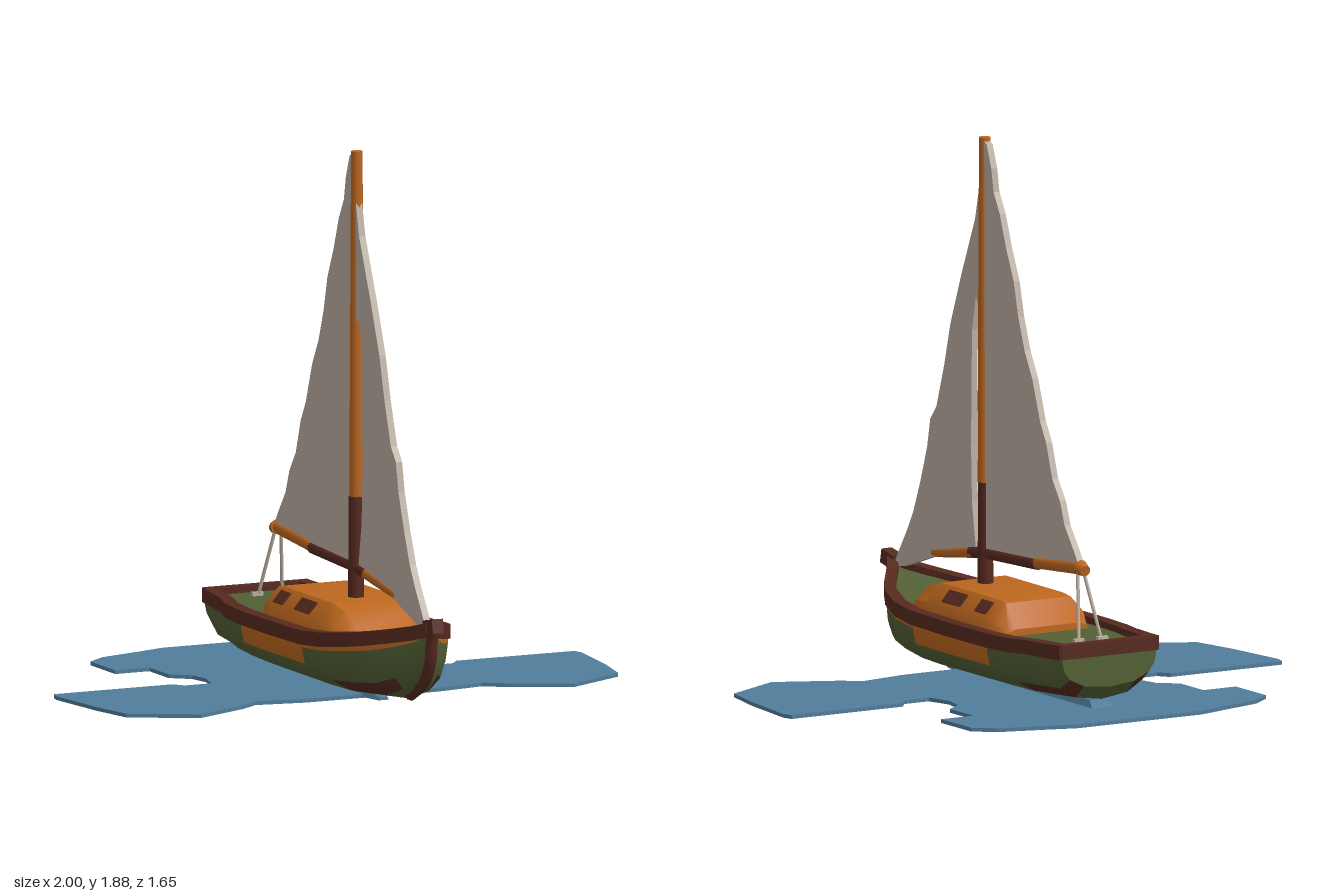
import * as THREE from 'three';
import { toCreasedNormals } from 'three/addons/utils/BufferGeometryUtils.js';

const material = (name, color) => Object.assign(new THREE.MeshStandardMaterial({ color }), { name });
const orange = material('orange wood', 0xbd671f);
const brown = material('dark brown wood', 0x56291f);
const green = material('olive green paint', 0x525f34);
const canvas = material('pale canvas', 0xbdb0a3);
const blue = material('water blue', 0x507d9a);

// Skin closed cross-sections (counter-clockwise from +z, ordered by rising z), with end caps
function loft(rings, pick = () => 0) {
  const pos = [], geo = new THREE.BufferGeometry();
  const n = rings[0].length, first = rings[0], last = rings[rings.length - 1];
  const face = (index, ...pts) => {
    geo.addGroup(pos.length / 3, pts.length, index);
    pts.forEach(p => pos.push(...p));
  };
  for (let i = 0; i < rings.length - 1; i++) {
    for (let j = 0; j < n; j++) {
      const k = (j + 1) % n;
      const [a, b, c, d] = [rings[i][j], rings[i][k], rings[i + 1][k], rings[i + 1][j]];
      face(pick(i, j), a, b, c, a, c, d);
    }
  }
  for (let j = 1; j < n - 1; j++) {
    face(0, first[0], first[j + 1], first[j]);
    face(0, last[0], last[j], last[j + 1]);
  }
  geo.setAttribute('position', new THREE.Float32BufferAttribute(pos, 3));
  return toCreasedNormals(geo, 0.6);
}

// Hull stations: z, half width, rail height, keel height
const STATIONS = [
  [-0.63, 0.195, 0.245, 0.09], [-0.58, 0.2, 0.243, 0.04], [-0.45, 0.215, 0.24, 0.033],
  [-0.35, 0.24, 0.236, 0.03], [-0.23, 0.25, 0.235, 0.03], [0, 0.252, 0.236, 0.03],
  [0.25, 0.25, 0.24, 0.03], [0.38, 0.235, 0.25, 0.03], [0.5, 0.195, 0.266, 0.035],
  [0.58, 0.15, 0.28, 0.04], [0.65, 0.1, 0.295, 0.07], [0.72, 0.05, 0.312, 0.12],
  [0.77, 0.02, 0.328, 0.2],
];
// Half section: width factor, height factor, from deck edge to keel
const SECTION = [[0.97, 1], [0.98, 0.8], [0.93, 0.5], [0.82, 0.28], [0.52, 0.08], [0, 0]];

function hullGeometry() {
  const rings = STATIONS.map(([z, w, s, k]) => {
    const half = SECTION.map(([fx, fy]) => [-w * fx, k + (s - 0.018 - k) * fy, z]);
    return [...half, ...half.slice(0, 5).reverse().map(([x, y]) => [-x, y, z])];
  });
  return loft(rings, (i, j) => {
    if (j === 10) return 0; // deck
    const band = j < 5 ? j : 9 - j, z = (STATIONS[i][0] + STATIONS[i + 1][0]) / 2;
    if (band === 0 && z > -0.23) return 1;
    if (band === 1 && z > -0.23 && z < 0.25) return 1;
    if (band === 3 && (z < -0.35 || (z > 0.38 && z < 0.65))) return 2;
    return 0;
  });
}

function railGeometry(side) {
  return loft(STATIONS.map(([z, w, s]) => {
    const inner = Math.max(0, w - 0.042), outer = w + 0.005;
    const ring = [[inner, s - 0.045, z], [outer, s - 0.045, z], [outer, s + 0.005, z], [inner, s + 0.005, z]];
    return side > 0 ? ring : ring.reverse().map(([x, y]) => [-x, y, z]);
  }));
}

// Cabin rings: z, base half width, roof half width, roof height
function cabinGeometry() {
  const rows = [
    [-0.23, 0.17, 0.13, 0.24], [-0.17, 0.195, 0.13, 0.322], [-0.12, 0.2, 0.13, 0.328],
    [0.25, 0.2, 0.13, 0.33], [0.34, 0.19, 0.12, 0.31], [0.41, 0.15, 0.1, 0.25],
  ];
  return loft(rows.map(([z, b, t, y]) => {
    const mid = 0.22 + (y - 0.22) * 0.45;
    return [[-b, 0.21], [b, 0.21], [b * 0.93, mid], [t, y], [-t, y], [-b * 0.93, mid]].map(([px, py]) => [px, py, z]);
  }));
}

// Flat sail from (z, y) outline points
function sailGeometry(points) {
  const shape = new THREE.Shape(points.map(p => new THREE.Vector2(...p)));
  const geo = new THREE.ExtrudeGeometry(shape, { depth: 0.024, bevelEnabled: false });
  return geo.rotateY(-Math.PI / 2).translate(0.012, 0, 0);
}

export function createModel() {
  const boat = new THREE.Group();
  boat.name = 'sailboat';
  const add = (name, geo, mat) => {
    const mesh = new THREE.Mesh(geo, mat);
    mesh.name = name;
    boat.add(mesh);
    return mesh;
  };
  const box = (name, size, at, mat) => {
    const mesh = add(name, new THREE.BoxGeometry(...size), mat);
    mesh.position.set(...at);
    return mesh;
  };
  // Round pole between two points
  const pole = (name, from, to, r0, r1, mat, sides = 10) => {
    const a = new THREE.Vector3(...from), b = new THREE.Vector3(...to);
    const mesh = add(name, new THREE.CylinderGeometry(r1, r0, a.distanceTo(b), sides), mat);
    mesh.position.copy(a).add(b).multiplyScalar(0.5);
    mesh.quaternion.setFromUnitVectors(new THREE.Vector3(0, 1, 0), b.sub(a).normalize());
    return mesh;
  };

  // Water: mirrored half outline (x, z), with a raised strip below the keel
  const half = [
    [0.25, -0.83], [0.38, -0.79], [0.52, -0.75], [0.595, -0.69], [0.595, -0.495], [0.465, -0.495],
    [0.465, -0.345], [0.4, -0.29], [0.385, -0.21], [0.41, -0.12], [0.51, -0.12], [0.54, -0.16],
    [0.99, -0.16], [1, -0.12], [0.97, 0.13], [0.935, 0.3], [0.71, 0.42], [0.5, 0.32], [0.43, 0.27], [0.25, 0.3],
  ];
  const outline = [...half, ...half.map(([x, z]) => [-x, z]).reverse()];
  const waterShape = new THREE.Shape(outline.map(([x, z]) => new THREE.Vector2(x, -z)));
  add('water', new THREE.ExtrudeGeometry(waterShape, { depth: 0.013, bevelEnabled: false }).rotateX(-Math.PI / 2), blue);
  add('wake', loft([[-0.6, 0.05, 0.014], [-0.56, 0.05, 0.038], [0.3, 0.04, 0.032], [0.39, 0.02, 0.014]].map(
    ([z, w, y]) => [[-w, 0.004, z], [w, 0.004, z], [w * 0.7, y, z], [-w * 0.7, y, z]])), blue);

  // Hull with deck, rails, transom and stem
  add('hull', hullGeometry(), [green, orange, brown]);
  add('leftRail', railGeometry(1), brown);
  add('rightRail', railGeometry(-1), brown);
  box('sternRail', [0.39, 0.05, 0.035], [0, 0.225, -0.615], brown);
  const stemPath = new THREE.CatmullRomCurve3([[0.325, 0.785], [0.27, 0.768], [0.2, 0.758], [0.12, 0.71], [0.055, 0.6]]
    .map(([y, z]) => new THREE.Vector3(0, y, z)));
  add('stem', new THREE.TubeGeometry(stemPath, 16, 0.022, 8), brown);
  box('stemHead', [0.042, 0.05, 0.075], [0, 0.32, 0.78], brown).rotation.x = -0.2;

  // Cabin and windows
  add('cabin', cabinGeometry(), orange);
  for (const side of [1, -1]) {
    for (const [z, length] of [[0.11, 0.115], [-0.078, 0.07]]) {
      box('cabinWindow', [0.009, 0.05, length], [side * 0.161, 0.298, z], brown).rotation.z = side * 0.72;
    }
  }

  // Mast and booms
  pole('lowerMast', [0, 0.32, 0.172], [0, 0.68, 0.172], 0.028, 0.026, brown);
  pole('upperMast', [0, 0.68, 0.177], [0, 1.88, 0.177], 0.026, 0.02, orange);
  pole('innerBoom', [0, 0.433, 0.2], [0, 0.447, -0.17], 0.021, 0.022, brown);
  pole('outerBoom', [0, 0.452, -0.17], [0, 0.476, -0.45], 0.022, 0.024, orange);
  pole('boomEnd', [0, 0.476, -0.44], [0, 0.468, -0.475], 0.028, 0.02, orange);
  pole('jibBoomRoot', [0, 0.432, 0.19], [0, 0.424, 0.26], 0.022, 0.021, brown);
  pole('jibBoom', [0, 0.426, 0.24], [0, 0.384, 0.5], 0.021, 0.016, orange);

  // Sails
  add('mainSail', sailGeometry([
    [0.165, 0.44], [-0.17, 0.455], [-0.45, 0.485], [-0.42, 0.53], [-0.36, 0.61], [-0.33, 0.69], [-0.28, 0.76],
    [-0.24, 0.88], [-0.2, 0.95], [-0.15, 1.09], [-0.1, 1.18], [-0.06, 1.29], [-0.03, 1.41], [0.02, 1.52],
    [0.06, 1.63], [0.1, 1.7], [0.115, 1.78], [0.145, 1.86], [0.165, 1.87],
  ]), canvas);
  add('jib', sailGeometry([
    [0.75, 0.3], [0.72, 0.35], [0.66, 0.44], [0.62, 0.51], [0.575, 0.62], [0.53, 0.75], [0.51, 0.85], [0.47, 0.9],
    [0.42, 1.05], [0.38, 1.2], [0.31, 1.38], [0.22, 1.59], [0.19, 1.72], [0.19, 1.28], [0.215, 1.32],
    [0.24, 1.2], [0.246, 0.8], [0.24, 0.6], [0.215, 0.44], [0.35, 0.405], [0.5, 0.37], [0.68, 0.31],
  ]), canvas);

  // Sheet ropes from the boom to the aft deck
  for (const side of [1, -1]) {
    pole('sheetRope', [side * 0.012, 0.46, -0.445], [side * 0.045, 0.235, -0.505], 0.006, 0.006, canvas, 6);
    box('ropeCleat', [0.04, 0.014, 0.016], [side * 0.048, 0.236, -0.508], canvas);
  }
  return boat;
}
